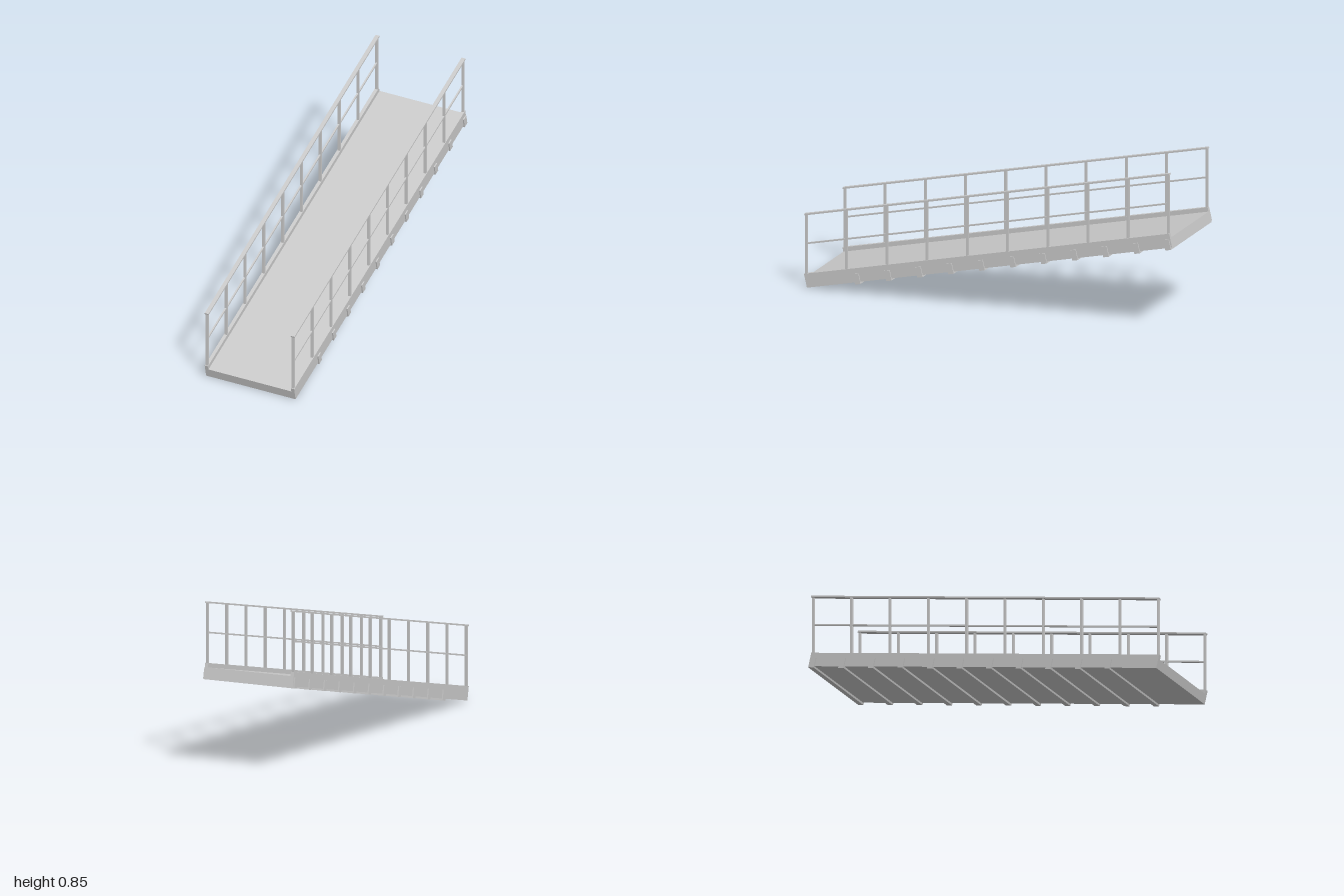
import * as THREE from 'three';

const SLOPE = THREE.MathUtils.degToRad(13.13);
const TAN = Math.tan(SLOPE);
const LENGTH = 2.036, HEIGHT = 0.072, DECK = 0.05, MID_Y = 0.266;

export function createModel() {
  const model = new THREE.Group();
  model.name = 'accessRamp';
  const material = new THREE.MeshStandardMaterial({ color: 0xcccccc, flatShading: true });

  function box(name, parent, size, position) {
    const mesh = new THREE.Mesh(new THREE.BoxGeometry(...size), material);
    mesh.name = name;
    mesh.position.set(...position);
    parent.add(mesh);
    return mesh;
  }

  // Sloping bed: everything here is laid out flat, then tilted as one
  const bed = new THREE.Group();
  bed.name = 'rampBed';
  bed.rotation.x = SLOPE;
  bed.position.y = MID_Y;
  model.add(bed);

  box('deck', bed, [0.456, DECK, LENGTH], [0, (DECK - HEIGHT) / 2, 0]);
  for (const side of [-1, 1]) {
    box('sideBeam', bed, [0.018, HEIGHT, LENGTH], [side * 0.237, 0, 0]);
  }

  // Cross members under the deck, with ends that wrap up the side beams
  for (let i = 0; i < 11; i++) {
    const z = 0.734 - i * 0.173;
    const bottom = -HEIGHT / 2;
    box('crossMember', bed, [0.502, 0.01, 0.03], [0, bottom - 0.005, z]);
    for (const side of [-1, 1]) {
      box('crossMemberEnd', bed, [0.008, 0.052, 0.03], [side * 0.248, bottom + 0.018, z]);
    }
  }

  // Railings: upright posts with two rails parallel to the slope
  for (const side of [-1, 1]) {
    const railing = new THREE.Group();
    railing.name = side > 0 ? 'leftRailing' : 'rightRailing';
    model.add(railing);
    const x = side * 0.2365;

    for (let i = 0; i < 10; i++) {
      const z = 0.99 - i * 0.2184;
      const foot = 0.298 - z * TAN;
      const top = 0.609 - z * TAN;
      box('post', railing, [0.013, top - foot, 0.011], [x, (foot + top) / 2, z]);
    }

    const handrail = box('handrail', railing, [0.021, 0.008, 2.034], [x, 0.61, 0.007]);
    handrail.rotation.x = SLOPE;
    const midRail = box('midRail', railing, [0.008, 0.008, 2.02], [x, 0.457, 0.007]);
    midRail.rotation.x = SLOPE;
  }

  return model;
}
